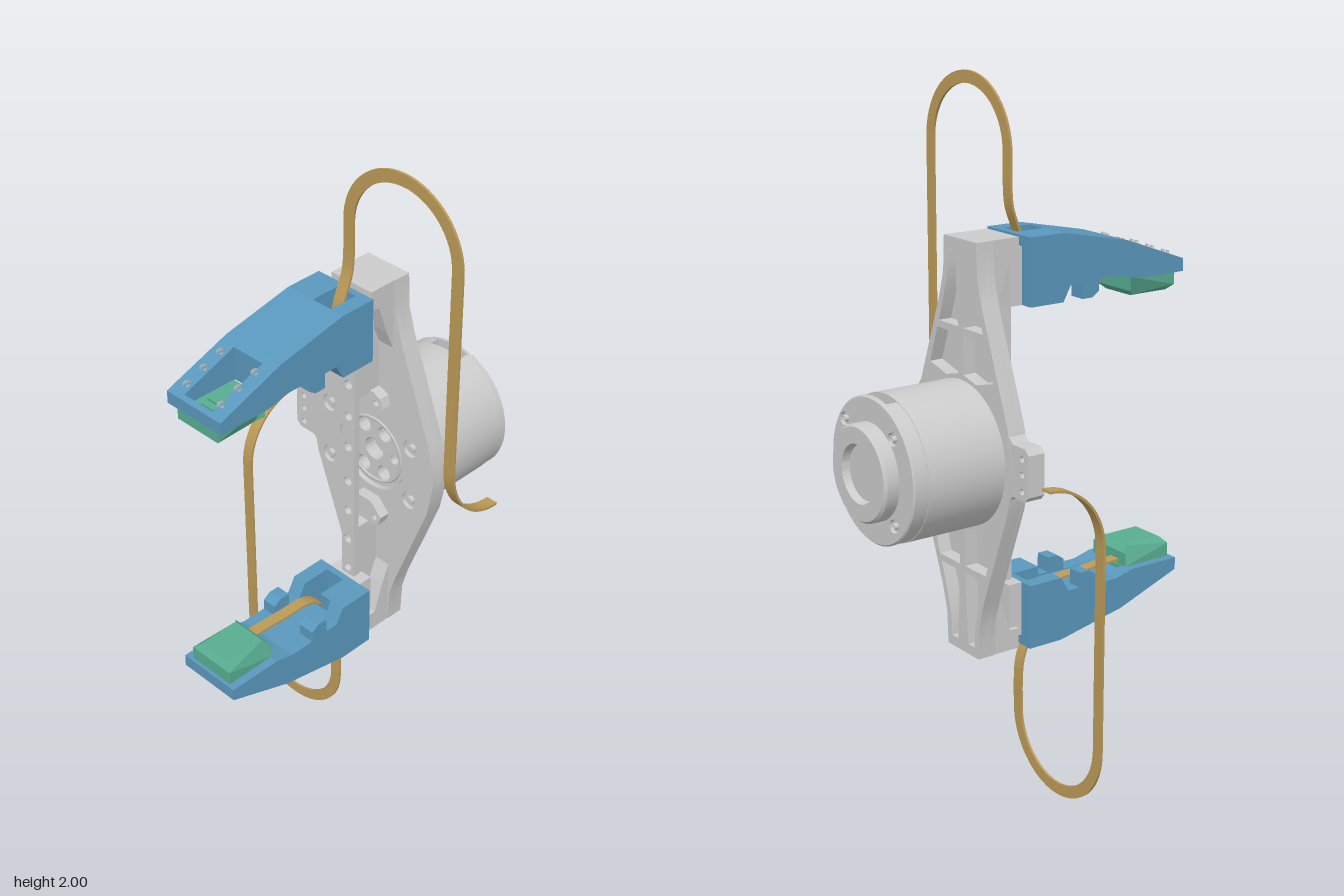
import * as THREE from 'three';
import { toCreasedNormals } from 'three/addons/utils/BufferGeometryUtils.js';

const mat = (color) => new THREE.MeshStandardMaterial({ color });
const GREY = mat(0xcccccc), BLUE = mat(0x5a98bd), GREEN = mat(0x58ad90), AMBER = mat(0xbd9b58);
AMBER.side = THREE.DoubleSide;

function add(parent, name, geo, material = GREY, x = 0, y = 0, z = 0) {
  const m = new THREE.Mesh(geo, material);
  m.name = name;
  m.position.set(x, y, z);
  parent.add(m);
  return m;
}
const poly = (pts) => new THREE.Shape(pts.map(([x, y]) => new THREE.Vector2(x, y)));
const hole = (shape, x, y, r) => shape.holes.push(new THREE.Path().absarc(x, y, r, 0, Math.PI * 2, true));
const box = (w, h, d) => new THREE.BoxGeometry(w, h, d);

// Extrusion of an xy shape between two z values
function slabZ(shape, z0, z1) {
  const g = new THREE.ExtrudeGeometry(shape, { depth: z1 - z0, bevelEnabled: false, curveSegments: 20 });
  return toCreasedNormals(g.translate(0, 0, z0), 0.5);
}
// Extrusion of a (z, y) shape between two x values
function slabX(shape, x0, x1) {
  return new THREE.ExtrudeGeometry(shape, { depth: x1 - x0, bevelEnabled: false }).rotateY(-Math.PI / 2).translate(x1, 0, 0);
}
// Turned part about z; profile is [radius, distance behind z = 0]
function turned(profile, segments = 64) {
  const g = new THREE.LatheGeometry(profile.map(([r, d]) => new THREE.Vector2(r, d)), segments);
  return toCreasedNormals(g.rotateX(-Math.PI / 2), 0.5);
}
// Socket screw head with a hollow, facing z = dir
function screw(parent, x, y, z, r, dir = 1) {
  const g = turned([[0, 0.004], [r * 0.5, 0.004], [r * 0.5, -0.012], [r, -0.012], [r, 0.01]].reverse(), 16);
  if (dir < 0) g.rotateY(Math.PI);
  return add(parent, 'screw', g, GREY, x, y, z);
}

// Diamond outline of the base plate
function plateOutline() {
  const q = [[0.226, 0.06], [0.215, 0.115], [0.1, 0.42], [0.08, 0.49], [0.075, 0.59]];
  const right = [...q.map(([x, y]) => [x, -y]).reverse(), [0.234, 0], ...q];
  return poly([...right, ...right.map(([x, y]) => [-x, -y])]);
}

function buildPlate(g) {
  const skin = plateOutline();
  hole(skin, 0, 0, 0.125);
  add(g, 'basePlate', slabZ(skin, -0.14, -0.125));

  // Ribbed rear frame with open pockets
  const frame = plateOutline();
  hole(frame, 0, 0, 0.125);
  for (const sx of [1, -1]) for (const sy of [1, -1]) {
    const pockets = [
      [[0.012, 0.35], [0.104, 0.35], [0.08, 0.42], [0.058, 0.5], [0.056, 0.56], [0.025, 0.56]],
      [[0.012, 0.22], [0.07, 0.205], [0.15, 0.225], [0.112, 0.33], [0.012, 0.33]],
    ];
    for (const p of pockets) frame.holes.push(new THREE.Path(p.map(([x, y]) => new THREE.Vector2(sx * x, sy * y))));
  }
  add(g, 'ribFrame', slabZ(frame, -0.18, -0.14));

  // Side lug with three small holes
  const lug = poly([[-0.2, -0.1], [-0.235, -0.065], [-0.29, -0.065], [-0.305, -0.05], [-0.305, 0.065], [-0.29, 0.08], [-0.235, 0.08], [-0.2, 0.115]].reverse());
  for (const y of [-0.04, 0.007, 0.05]) hole(lug, -0.276, y, 0.009);
  add(g, 'sideLug', slabZ(lug, -0.178, -0.126));

  // Mounting screws around the hub
  for (const x of [-0.157, 0.157]) for (const y of [-0.09, 0.09]) screw(g, x, y, -0.125, 0.026);
}

function buildMotor(g) {
  const motor = new THREE.Group();
  motor.name = 'motor';
  g.add(motor);
  add(motor, 'motorBody', turned([[0, 0.175], [0.205, 0.175], [0.205, 0.42], [0, 0.42]]));

  // Rear rim, notched at the top and bottom
  for (const a of [0, Math.PI]) {
    const s = new THREE.Shape();
    s.absarc(0, 0, 0.203, a - 1.29, a + 1.29, false);
    s.absarc(0, 0, 0.185, a + 1.26, a - 1.26, true);
    add(motor, 'rearRim', slabZ(s, -0.456, -0.42));
  }
  add(motor, 'rearCover', turned([[0, 0.455], [0.204, 0.455], [0.204, 0.463], [0.2, 0.467], [0, 0.467]]));
  add(motor, 'rearCap', turned([[0.135, 0.46], [0.135, 0.503], [0.128, 0.511], [0.082, 0.511], [0.076, 0.49], [0, 0.49]]));
  for (let i = 0; i < 4; i++) {
    const a = Math.PI / 4 + i * Math.PI / 2;
    screw(motor, 0.168 * Math.cos(a), 0.168 * Math.sin(a), -0.467, 0.018, -1);
  }

  // Front hub disc with a ring of holes
  const disc = new THREE.Shape().absarc(0, 0, 0.12, 0, Math.PI * 2, false);
  hole(disc, 0, 0, 0.035);
  for (let i = 0; i < 6; i++) {
    const a = i * Math.PI / 3;
    hole(disc, 0.078 * Math.cos(a), 0.078 * Math.sin(a), i % 3 ? 0.024 : 0.015);
  }
  add(motor, 'hubDisc', slabZ(disc, -0.18, -0.135));
  add(motor, 'hubRing', new THREE.TorusGeometry(0.104, 0.005, 6, 48), GREY, 0, 0, -0.135);
}

// Finger side lines as [z, y]
const TOP = [[-0.02, 0.59], [0.09, 0.59], [0.31, 0.545], [0.515, 0.47]];
const UNDER = [[-0.02, 0.4], [0.09, 0.4], [0.115, 0.445], [0.155, 0.445], [0.156, 0.4], [0.19, 0.4], [0.212, 0.415], [0.213, 0.448], [0.29, 0.448], [0.35, 0.433], [0.515, 0.433]];
const UNDER_MID = [[-0.02, 0.4], [0.03, 0.4], [0.09, 0.45], [0.29, 0.45], [0.35, 0.433], [0.515, 0.433]];

// Part of a polyline between z0 and z1
function cut(line, z0, z1) {
  const at = (z) => {
    let i = 1;
    while (i < line.length - 1 && line[i][0] < z) i++;
    const [a, b] = [line[i - 1], line[i]];
    return [z, a[1] + (b[1] - a[1]) * (z - a[0]) / (b[0] - a[0])];
  };
  return [at(z0), ...line.filter(([z]) => z > z0 && z < z1), at(z1)];
}

function buildFinger(g) {
  const finger = new THREE.Group();
  finger.name = 'finger';
  g.add(finger);
  // Solid cheeks, with a middle broken by the cable slot and sensor window
  const pieces = [
    [-0.1, -0.05, -0.02, 0.515, UNDER], [0.055, 0.1, -0.02, 0.515, UNDER],
    [-0.05, 0.055, -0.02, 0, UNDER], [-0.05, -0.01, 0, 0.09, UNDER],
    [-0.05, 0.055, 0.09, 0.33, UNDER_MID], [-0.05, 0.055, 0.5, 0.515, UNDER],
  ];
  for (const [x0, x1, z0, z1, under] of pieces) {
    const outline = [...cut(under, z0, z1), ...cut(TOP, z0, z1).reverse()];
    add(finger, 'fingerBody', slabX(poly(outline), x0, x1), BLUE);
  }
  for (const x of [-0.064, 0.064]) for (const z of [0.36, 0.417, 0.475]) {
    const y = cut(TOP, z, 0.515)[0][1];
    screw(finger, x, y - 0.004, z, 0.012).rotation.x = -Math.PI / 2 + 0.35;
  }

  // Sensor pad: chamfered block with a board inside the window
  const pad = poly([[0.345, 0.433], [0.345, 0.392], [0.362, 0.375], [0.49, 0.375], [0.505, 0.392], [0.505, 0.433]]);
  const padGeo = slabX(pad, -0.075, 0.075);
  const p = padGeo.attributes.position;
  for (let i = 0; i < p.count; i++) if (p.getY(i) < 0.38) p.setX(i, p.getX(i) * 0.72);
  padGeo.computeVertexNormals();
  add(finger, 'sensorPad', padGeo, GREEN);
  add(finger, 'sensorBoard', box(0.095, 0.012, 0.16), GREEN, 0, 0.437, 0.418);
  add(finger, 'sensorChip', box(0.056, 0.008, 0.056), GREEN, 0, 0.446, 0.417);
  add(finger, 'sensorPort', box(0.046, 0.008, 0.014), GREEN, 0, 0.446, 0.464);
}

// Flat ribbon swept along points; side gives its width direction
function ribbon(points, side, width, thick) {
  const rings = points.map((p, i) => {
    const t = points[Math.min(i + 1, points.length - 1)].clone().sub(points[Math.max(i - 1, 0)]).normalize();
    const w = side(p, t);
    const n = t.clone().cross(w).normalize().multiplyScalar(thick / 2);
    w.multiplyScalar(width / 2);
    return [[1, 1], [-1, 1], [-1, -1], [1, -1]].map(([a, b]) => p.clone().addScaledVector(w, a).addScaledVector(n, b));
  });
  const tris = [];
  const quad = (a, b, c, d) => tris.push(a, b, c, a, c, d);
  for (let i = 0; i < rings.length - 1; i++) for (let j = 0; j < 4; j++) {
    const k = (j + 1) % 4;
    quad(rings[i][j], rings[i][k], rings[i + 1][k], rings[i + 1][j]);
  }
  quad(...[...rings[0]].reverse());
  quad(...rings[rings.length - 1]);
  return toCreasedNormals(new THREE.BufferGeometry().setFromPoints(tris), 0.6);
}

function buildCable(g) {
  const V = (x, y, z) => new THREE.Vector3(x, y, z);
  const x0 = 0.025, R = 0.185, yc = 0.7975, zc = -0.006;
  const start = [[0.41, 0.423], [0.35, 0.42], [0.21, 0.427], [0.11, 0.435], [0.055, 0.48], [0.03, 0.57], [0, 0.65], [zc, 0.71], [zc, yc]];
  const pts = new THREE.CatmullRomCurve3(start.map(([z, y]) => V(x0, y, z))).getPoints(48);
  for (let i = 1; i <= 32; i++) {
    const a = Math.PI * (1 - i / 32);
    pts.push(V(x0 + R + R * Math.cos(a), yc + R * Math.sin(a), zc));
  }
  for (let i = 0; i <= 16; i++) {
    const a = i / 16 * Math.PI / 2;
    pts.push(V(x0 + 2 * R, 0.2 - 0.197 * Math.sin(a), zc - 0.182 * (1 - Math.cos(a))));
  }
  // Width turns with the arch and stays along x elsewhere
  const side = (p, t) => {
    if (p.y <= yc + 1e-6) return V(p.x < x0 + R ? 1 : -1, 0, 0);
    return V(t.y, -t.x, 0).normalize();
  };
  add(g, 'ribbonCable', ribbon(pts, side, 0.035, 0.007), AMBER);
}

// One end of the gripper: block, rib, pad, carriage, finger and cable
function buildHalf() {
  const g = new THREE.Group();
  g.name = 'gripperHalf';
  const block = poly([[-0.125, 0.59], [-0.125, 0.38], [-0.1, 0.44], [-0.08, 0.5], [-0.07, 0.53], [-0.04, 0.53], [-0.04, 0.59]]);
  add(g, 'endBlock', slabX(block, -0.073, 0.073));
  add(g, 'railRib', box(0.045, 0.31, 0.077), GREY, 0, 0.38, -0.087);
  const wing = poly([[-0.03, 0.15], [0.03, 0.15], [0.07, 0.19], [0.06, 0.22], [0.035, 0.232], [-0.035, 0.232], [-0.06, 0.22], [-0.07, 0.19]]);
  hole(wing, 0.045, 0.2, 0.01);
  hole(wing, -0.045, 0.2, 0.01);
  add(g, 'wingPad', slabZ(wing, -0.126, -0.092));
  add(g, 'carriage', box(0.12, 0.16, 0.045), GREY, 0, 0.48, -0.042);
  buildFinger(g);
  buildCable(g);
  return g;
}

export function createModel() {
  const model = new THREE.Group();
  model.name = 'gripper';
  const body = new THREE.Group();
  body.name = 'gripperBody';
  body.position.y = 1;
  model.add(body);
  buildPlate(body);
  buildMotor(body);

  // Guide rail with bolt holes
  const rail = poly([[-0.024, -0.56], [0.024, -0.56], [0.024, 0.56], [-0.024, 0.56]]);
  for (const y of [0.06, 0.165, 0.27, 0.375]) for (const s of [1, -1]) hole(rail, 0, s * y, 0.014);
  add(body, 'guideRail', slabZ(rail, -0.05, -0.03));

  const upper = buildHalf(), lower = buildHalf();
  lower.rotation.z = Math.PI;
  body.add(upper, lower);
  return model;
}
